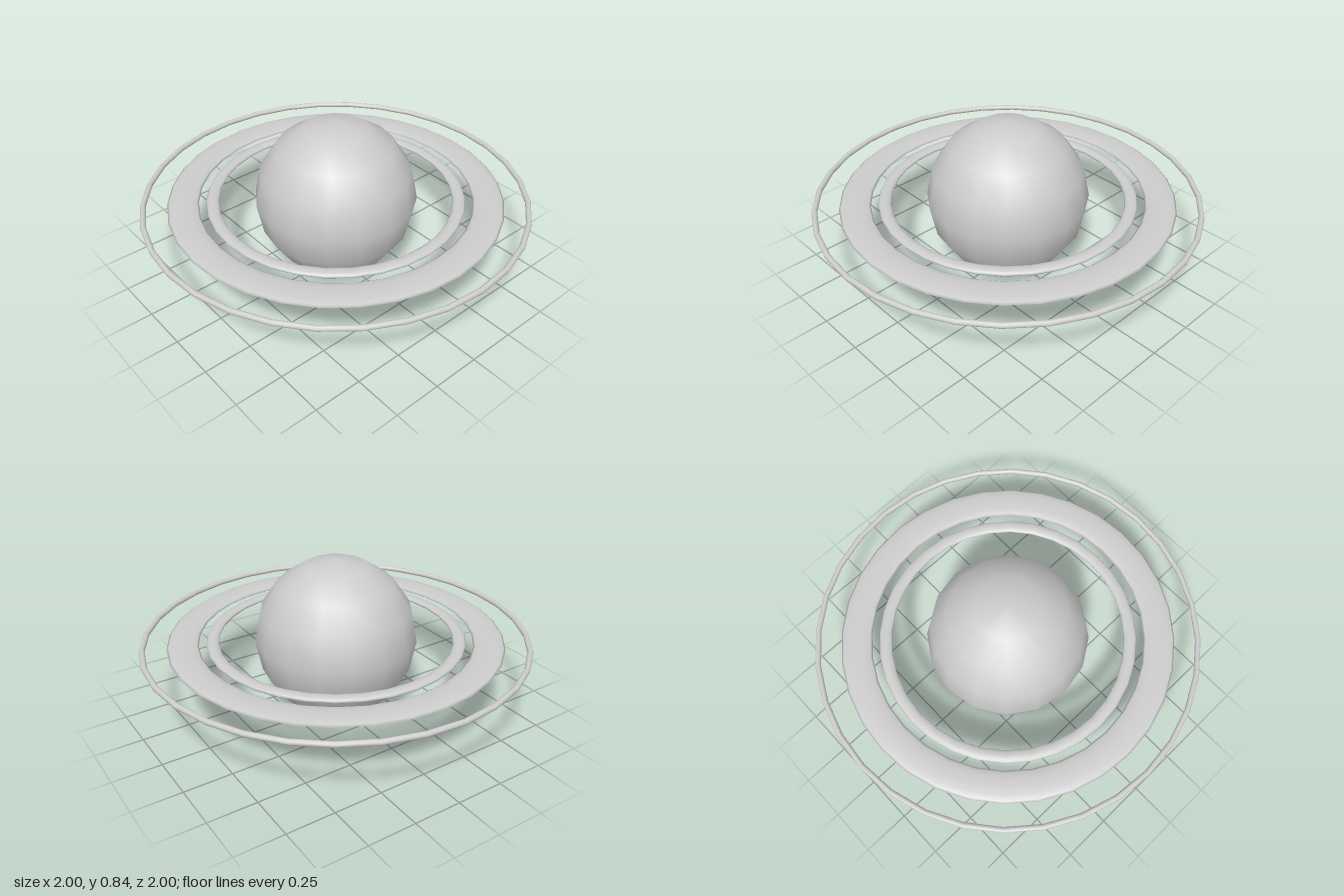
import * as THREE from 'three';

const CENTRE_Y = 0.42;

export function createModel() {
  const model = new THREE.Group();
  model.name = 'ringedPlanet';

  const grey = new THREE.MeshStandardMaterial({ color: 0xcccccc });
  grey.name = 'light grey';

  const add = (name, geometry) => {
    const mesh = new THREE.Mesh(geometry, grey);
    mesh.name = name;
    mesh.position.y = CENTRE_Y;
    model.add(mesh);
  };

  // Planet: a low-poly ball with smooth normals
  add('planet', new THREE.SphereGeometry(0.42, 16, 8));

  // Rings: tori laid flat and squashed to one common thickness
  const halfHeight = 0.0145;
  const rings = [
    ['innerRing', 0.602, 0.667],
    ['middleRing', 0.704, 0.864],
    ['outerRing', 0.971, 1.0],
  ];
  for (const [name, inner, outer] of rings) {
    const halfWidth = (outer - inner) / 2;
    const ring = new THREE.TorusGeometry((inner + outer) / 2, halfWidth, 12, 32);
    ring.rotateX(Math.PI / 2);
    ring.scale(1, halfHeight / halfWidth, 1);
    add(name, ring);
  }

  return model;
}
